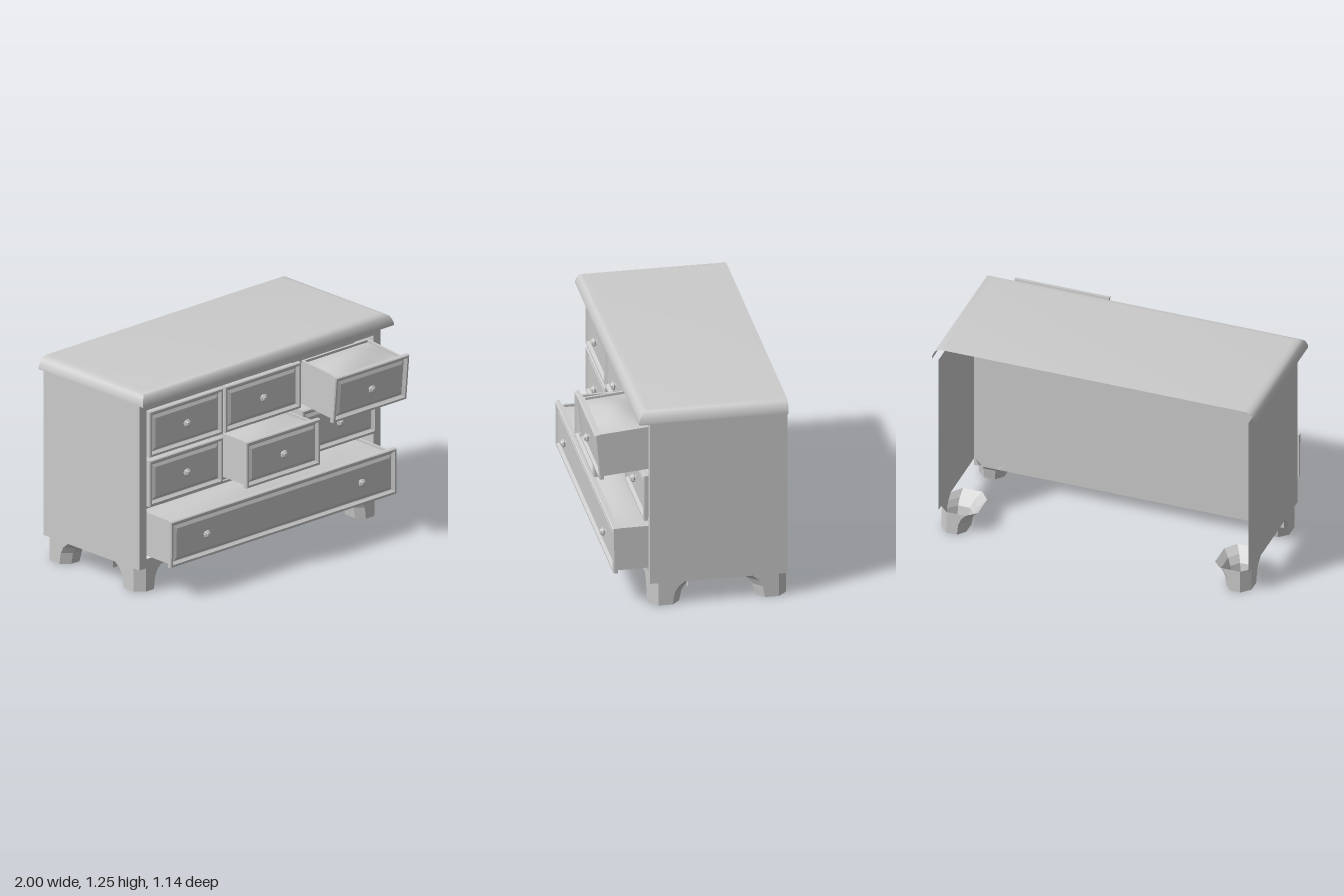
import * as THREE from 'three';
import { toCreasedNormals } from 'three/addons/utils/BufferGeometryUtils.js';

const mat = new THREE.MeshStandardMaterial({ color: 0xcccccc, side: THREE.DoubleSide });

function add(parent, name, geo, x = 0, y = 0, z = 0) {
  const mesh = new THREE.Mesh(geo, mat);
  mesh.name = name;
  mesh.position.set(x, y, z);
  parent.add(mesh);
  return mesh;
}

// Skin over a list of rings ([x, y, z] points); optional caps on first / last ring
function loft(rings, { closed = true, capStart = false, capEnd = false, crease = 0.3 } = {}) {
  const n = rings[0].length, index = [];
  for (let i = 0; i < rings.length - 1; i++) {
    for (let j = 0; j < (closed ? n : n - 1); j++) {
      const k = (j + 1) % n, a = i * n + j, b = i * n + k;
      index.push(a, b, b + n, a, b + n, a + n);
    }
  }
  const last = (rings.length - 1) * n;
  for (let j = 1; j < n - 1; j++) {
    if (capStart) index.push(0, j + 1, j);
    if (capEnd) index.push(last, last + j, last + j + 1);
  }
  const geo = new THREE.BufferGeometry();
  geo.setAttribute('position', new THREE.Float32BufferAttribute(rings.flat(2), 3));
  geo.setIndex(index);
  return toCreasedNormals(geo, crease);
}

const rect = (x0, y0, x1, y1) => [[x0, y0], [x1, y0], [x1, y1], [x0, y1]].map(p => new THREE.Vector2(...p));

// Moulded drawer front: rim, sloping moulding and raised centre panel
function plateGeometry(w, h) {
  const profile = [[0, 0], [0, 0.02], [0.005, 0.027], [0.017, 0.027], [0.022, 0.018],
    [0.03, 0.008], [0.034, 0.008], [0.052, 0.018]];
  const rings = profile.map(([e, z]) => {
    const x = w / 2 - e, y = h / 2 - e;
    return [[-x, -y, z], [x, -y, z], [x, y, z], [-x, y, z]];
  });
  return loft(rings, { capStart: true, capEnd: true });
}

// Turned knob: neck, wide disc and smaller cap
function knobGeometry() {
  const pts = [[0.017, 0], [0.017, 0.005], [0.012, 0.008], [0.012, 0.012], [0.022, 0.013], [0.025, 0.017],
    [0.025, 0.022], [0.022, 0.026], [0.017, 0.028], [0.016, 0.034], [0.012, 0.037], [0, 0.038]];
  const lathe = new THREE.LatheGeometry(pts.map(p => new THREE.Vector2(...p)), 16);
  return toCreasedNormals(lathe.rotateX(Math.PI / 2), 0.8);
}

// Drawer with its origin on the lower edge; pull is how far the front stands out
function makeDrawer({ name, x0, x1, y, h = 0.285, pull = 0, tilt = 0, bulge = 0.005, knobs = [0] }) {
  const g = new THREE.Group(), w = x1 - x0, pivot = 0.225;
  g.name = name;
  g.position.set((x0 + x1) / 2, y, pivot);
  g.rotation.x = tilt;
  const zf = 0.245 + pull - pivot, len = pull > 0 ? 0.3 : 0.215, zMid = zf - len / 2;
  add(g, 'drawerFront', plateGeometry(w, h), 0, h / 2, zf);
  for (const k of knobs) add(g, 'knob', knobGeometry(), k, h / 2, zf + 0.014);

  // Box behind the front
  const bw = w - 0.06, bh = h - 0.018, t = 0.014, yMid = bh / 2 + 0.006;
  for (const s of [-1, 1])
    add(g, 'drawerSide', new THREE.BoxGeometry(t, bh, len), s * (bw - t) / 2, yMid, zMid);
  for (const s of [-1, 1])
    add(g, s > 0 ? 'drawerInnerFront' : 'drawerBack', new THREE.BoxGeometry(bw - 2 * t, bh, t), 0, yMid, zMid + s * (len - t) / 2);
  add(g, 'drawerBottom', new THREE.BoxGeometry(bw - 2 * t, 0.012, len - 2 * t), 0, 0.014, zMid);

  // Softly domed filling
  const cw = bw - 2 * t, cd = len - 2 * t;
  const fill = new THREE.PlaneGeometry(cw, cd, 16, 10).rotateX(-Math.PI / 2);
  const p = fill.attributes.position;
  for (let i = 0; i < p.count; i++)
    p.setY(i, (bulge + 0.015) * Math.cos(Math.PI * p.getX(i) / cw) * Math.cos(Math.PI * p.getZ(i) / cd));
  fill.computeVertexNormals();
  add(g, 'drawerFilling', fill, 0, bh - 0.009, zMid);
  return g;
}

// Hollow bracket foot: chamfered octagon that flares inward towards the top
function footGeometry() {
  const section = [[0.05, 0], [0.115, 0], [0.155, 0.05], [0.155, 0.133],
    [0.115, 0.18], [0.05, 0.18], [0, 0.133], [0, 0.05]];
  const flare = [[0, 0], [0.07, 0.15], [0.11, 0.45], [0.143, 1]];
  const rings = flare.map(([y, f]) => section.map(([u, v]) => [
    -(u + f * (u > 0.14 ? 0.07 : u > 0.1 ? 0.055 : 0)), y,
    -(v + f * (v > 0.15 ? 0.095 : v > 0.1 ? 0.072 : 0))]));
  return loft(rings, { crease: 0.2 });
}

export function createModel() {
  const model = new THREE.Group();
  model.name = 'chestOfDrawers';
  const X = 0.96, zFront = 0.243, zBack = -0.567, yLow = 0.143, yTop = 1.18;

  // Rounded top board, open underneath and at the back
  const edge = [[0, 1.18], [0, 1.192], [0.007, 1.215], [0.018, 1.236], [0.032, 1.247], [0.048, 1.253], [0.07, 1.255]];
  const rings = edge.map(([e, y]) => [[-1 + e, y, zBack], [-1 + e, y, 0.316 - e], [1 - e, y, 0.316 - e], [1 - e, y, zBack]]);
  add(model, 'top', loft(rings, { closed: false, capEnd: true, crease: 0.75 }));

  // Side panels
  const depth = zFront - zBack;
  for (const s of [-1, 1])
    add(model, 'sidePanel', new THREE.PlaneGeometry(depth, yTop - yLow).rotateY(s * Math.PI / 2),
      s * X, (yTop + yLow) / 2, (zFront + zBack) / 2);

  // Front frame around the drawer opening
  const frame = new THREE.Shape(rect(-X, yLow, X, yTop));
  frame.holes.push(new THREE.Path(rect(-0.905, 0.2, 0.905, 1.12)));
  add(model, 'frontFrame', new THREE.ShapeGeometry(frame), 0, 0, zFront);

  // Inner wall behind the drawers, reaching just below the frame
  const yWall = 0.1;
  add(model, 'innerWall', new THREE.PlaneGeometry(2 * X, yTop - yWall).rotateY(Math.PI), 0, (yTop + yWall) / 2, 0.02);

  // Feet, mirrored to the four corners
  const foot = footGeometry();
  for (const sx of [-1, 1]) for (const sz of [-1, 1])
    add(model, sz > 0 ? 'frontFoot' : 'backFoot', foot, sx * X, 0, sz > 0 ? zFront : zBack).scale.set(sx, 1, sz);

  // Drawers, some pulled out
  const drawers = [
    { name: 'upperRightDrawer', x0: -0.905, x1: -0.315, y: 0.832 },
    { name: 'upperMiddleDrawer', x0: -0.303, x1: 0.303, y: 0.832 },
    { name: 'upperLeftDrawer', x0: 0.313, x1: 0.9, y: 0.833, pull: 0.26, tilt: 0.092, bulge: 0.026 },
    { name: 'middleRightDrawer', x0: -0.905, x1: -0.315, y: 0.528 },
    { name: 'centreDrawer', x0: -0.303, x1: 0.288, y: 0.535, pull: 0.18, bulge: 0.01 },
    { name: 'middleLeftDrawer', x0: 0.315, x1: 0.905, y: 0.523 },
    { name: 'bottomDrawer', x0: -0.903, x1: 0.898, y: 0.199, pull: 0.177, tilt: 0.01, bulge: 0.018, knobs: [-0.617, 0.617] },
  ];
  for (const d of drawers) model.add(makeDrawer(d));
  return model;
}
